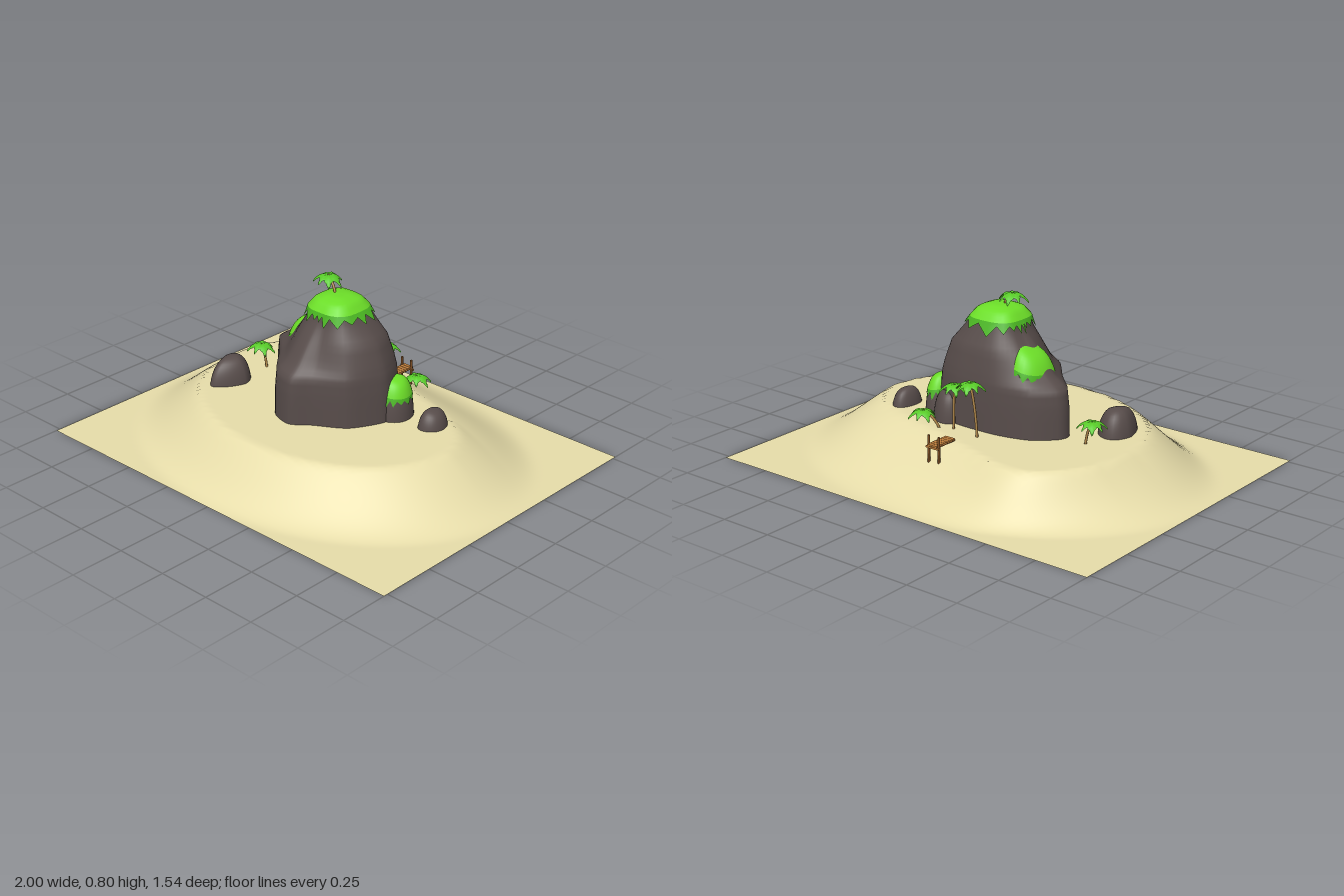
import * as THREE from 'three';
import { mergeVertices } from 'three/addons/utils/BufferGeometryUtils.js';

const mat = (name, color, side = THREE.FrontSide) => {
  const m = new THREE.MeshStandardMaterial({ color, side });
  m.name = name;
  return m;
};
const sand = mat('sand', 0xe7ddaa, THREE.DoubleSide);
const rock = mat('rock', 0x574c4a);
const grass = mat('grass', 0x6cde28, THREE.DoubleSide);
const fringeGreen = mat('grass fringe', 0x4ab522, THREE.DoubleSide);
const leafGreen = mat('palm leaf', 0x58cc28, THREE.DoubleSide);
const trunkBrown = mat('palm trunk', 0xb0874a);
const plankBrown = mat('plank', 0xc4823e);
const postBrown = mat('post', 0x7c4c22);

const { lerp, clamp } = THREE.MathUtils;

function add(parent, name, geometry, material) {
  const m = new THREE.Mesh(geometry, material);
  m.name = name;
  parent.add(m);
  return m;
}

// Closed skin over surface(u, v); bottom(i) may vary the lower rim
function skin(surface, bottom, top, rows, segs) {
  const pos = [], idx = [];
  for (let j = 0; j <= rows; j++) for (let i = 0; i < segs; i++) {
    const p = surface(i / segs, lerp(bottom(i), top, j / rows));
    pos.push(p.x, p.y, p.z);
  }
  for (let j = 0; j < rows; j++) for (let i = 0; i < segs; i++) {
    const n = (i + 1) % segs, a = j * segs + i, b = j * segs + n;
    idx.push(a, a + segs, b, b, a + segs, b + segs);
  }
  let g = new THREE.BufferGeometry();
  g.setAttribute('position', new THREE.Float32BufferAttribute(pos, 3));
  g.setIndex(idx);
  g = mergeVertices(g, 1e-5);
  g.computeVertexNormals();
  return g;
}

// Grass crown with a ragged hanging fringe, just outside a rock surface
function grassCap(parent, name, surface, centre, rim, top, drip, segs) {
  const outer = (u, v) => surface(u, v).sub(centre).multiplyScalar(1.06).add(centre);
  add(parent, name, skin(outer, () => rim, top, 10, segs), grass);
  const ragged = i => rim - drip * (i % 2 ? 0.25 : 0.8 + 0.2 * Math.sin(i * 2.3));
  add(parent, name + 'Fringe', skin(outer, ragged, rim, 3, segs), fringeGreen);
}

// Rounded boulder surface; point narrows the front, tilt leans the top, taper sharpens the dome
function lump({ x, z, rx, rz, y = 0.17, h, front = rz, point = 0, tilt = 0, taper = 0.6 }) {
  return (u, v) => {
    const a = u * Math.PI * 2, c = Math.cos(a), s = Math.sin(a);
    const r = Math.pow(Math.max(0, Math.cos(v * Math.PI / 2)), taper) * (1 + 0.05 * Math.sin(a * 3 + 1));
    const dx = rx * c * r * (1 - point * Math.max(0, s));
    return new THREE.Vector3(x + dx, y + h * Math.sin(v * Math.PI / 2) + tilt * dx * v, z + (s > 0 ? front : rz) * s * r);
  };
}

// Main rock: footprint blending upward into a small round summit
const foot = new THREE.CatmullRomCurve3([
  [0.3, -0.03], [0.22, 0.13], [0.08, 0.22], [0, 0.28], [-0.11, 0.25], [-0.24, 0.1],
  [-0.36, -0.02], [-0.36, -0.09], [-0.26, -0.18], [-0.1, -0.22], [0.12, -0.22], [0.25, -0.17],
].map(([x, z]) => new THREE.Vector3(x, 0, z)), true, 'catmullrom', 0.35);
// height, blend on front and left, blend on back and right, shrink
const levels = [
  [0.17, 0, 0, 1], [0.34, 0.02, 0.05, 1], [0.42, 0.06, 0.1, 1], [0.47, 0.33, 0.18, 1], [0.56, 0.64, 0.38, 1],
  [0.63, 0.9, 0.75, 1], [0.68, 1, 1, 1], [0.712, 1, 1, 0.76], [0.727, 1, 1, 0.4], [0.73, 1, 1, 0],
];
function mainRock(u, v) {
  const k = Math.min(Math.floor(v), levels.length - 2);
  const [y, tA, tB, shrink] = levels[k].map((n, i) => lerp(n, levels[k + 1][i], v - k));
  const cx = 0.015, cz = -0.025, f = foot.getPoint(u);
  const a = Math.atan2(f.z - cz, f.x - cx);
  const w = clamp(0.5 + 0.7 * (Math.sin(a) - Math.cos(a)), 0, 1), t = lerp(tB, tA, w);
  const r = 0.12 * (1 - 0.06 * Math.cos(4 * a)); // slightly square summit
  return new THREE.Vector3(
    cx + (lerp(f.x, cx + r * Math.cos(a), t) - cx) * shrink, y,
    cz + (lerp(f.z, cz + r * Math.sin(a), t) - cz) * shrink);
}

// Sand mound with a flat top, a wide cove at the back and a spur beside it
function sandGeometry() {
  const g = new THREE.PlaneGeometry(2, 1.54, 80, 62).rotateX(-Math.PI / 2);
  const p = g.attributes.position;
  const bump = (x, c, w) => Math.exp(-(((x - c) / w) ** 2));
  for (let i = 0; i < p.count; i++) {
    const x = p.getX(i), z = p.getZ(i);
    const u = Math.hypot(x, z / 0.77);
    const back = clamp(-z / 0.25, 0, 1);
    const edge = 0.67 + back * (0.12 * bump(x, -0.45, 0.25) - 0.2 * bump(x, 0.15, 0.42));
    const t = clamp((1 - u) / (1 - edge), 0, 1);
    p.setY(i, 0.207 * lerp(t ** 1.6, t * t * (3 - 2 * t), 0.35));
  }
  g.computeVertexNormals();
  return g;
}

// Drooping saw-edged leaf along +x
function leafGeometry(L) {
  const g = new THREE.PlaneGeometry(1, 1, 8, 2), p = g.attributes.position;
  for (let i = 0; i < p.count; i++) {
    const s = p.getX(i) + 0.5, w = p.getY(i) * 2;
    const notch = Math.round(s * 8) % 2 ? 1 : 0.7;
    const half = 0.35 * L * Math.sin(Math.PI * Math.pow(s, 0.8)) * notch;
    p.setXYZ(i, L * s, L * (0.4 * s - 0.9 * s * s - 0.12 * Math.abs(w)), -w * half);
  }
  g.computeVertexNormals();
  return g;
}

function palm(parent, base, top, L, turn) {
  const g = new THREE.Group();
  g.name = 'palm';
  const a = new THREE.Vector3(...base), b = new THREE.Vector3(...top);
  const bend = new THREE.Vector3(lerp(a.x, b.x, 0.2), lerp(a.y, b.y, 0.6), lerp(a.z, b.z, 0.2));
  add(g, 'trunk', new THREE.TubeGeometry(new THREE.QuadraticBezierCurve3(a, bend, b), 8, 0.006, 7), trunkBrown);
  const leaf = leafGeometry(L);
  for (let i = 0; i < 7; i++) {
    const m = add(g, 'leaf', leaf, leafGreen);
    m.position.copy(b);
    m.rotation.y = turn + i * Math.PI * 2 / 7;
    m.scale.setScalar(i % 2 ? 0.85 : 1);
  }
  parent.add(g);
}

function dock(parent) {
  const g = new THREE.Group();
  g.name = 'dock';
  const box = (name, w, h, d, x, y, z, m) => add(g, name, new THREE.BoxGeometry(w, h, d), m).position.set(x, y, z);
  for (let i = 0; i < 7; i++) box('plank', 0.052, 0.007, 0.016, 0.01, 0.215, -0.388 - i * 0.018, plankBrown);
  for (const s of [-1, 1]) {
    box('beam', 0.007, 0.006, 0.125, 0.01 + s * 0.02, 0.209, -0.44, postBrown);
    add(g, 'post', new THREE.CylinderGeometry(0.006, 0.006, 0.125, 8), postBrown).position.set(0.01 + s * 0.028, 0.193, -0.49);
  }
  box('crossBar', 0.07, 0.008, 0.008, 0.01, 0.205, -0.499, plankBrown);
  parent.add(g);
}

export function createModel() {
  const model = new THREE.Group();
  model.name = 'island';
  add(model, 'sandMound', sandGeometry(), sand);

  const summit = levels.length - 1;
  add(model, 'mainRock', skin(mainRock, () => 0, summit, 27, 64), rock);
  grassCap(model, 'summitGrass', mainRock, new THREE.Vector3(0.015, 0.6, -0.025), 5.95, summit, 1.1, 36);

  // Shoulders of the main rock, two of them grassy
  const leftLump = lump({ x: -0.17, z: -0.058, rx: 0.115, rz: 0.118, y: 0.32, h: 0.255, tilt: 0.55 });
  const rightLump = lump({ x: 0.28, z: -0.112, rx: 0.072, rz: 0.095, h: 0.21, tilt: -0.3 });
  const backLump = lump({ x: 0.18, z: -0.18, rx: 0.08, rz: 0.072, h: 0.17 });
  for (const s of [leftLump, rightLump, backLump]) add(model, 'rockShoulder', skin(s, () => 0, 1, 12, 32), rock);
  grassCap(model, 'shoulderGrass', leftLump, new THREE.Vector3(-0.17, 0.48, -0.058), 0.5, 1, 0.14, 32);
  grassCap(model, 'shoulderGrass', rightLump, new THREE.Vector3(0.28, 0.27, -0.112), 0.5, 1, 0.16, 28);

  // Loose boulders
  const boulders = [
    lump({ x: -0.5, z: 0.13, rx: 0.084, rz: 0.092, front: 0.132, point: 0.4, h: 0.152, taper: 0.75 }),
    lump({ x: 0.467, z: -0.145, rx: 0.058, rz: 0.08, h: 0.112, tilt: -0.3, taper: 0.7 }),
  ];
  for (const s of boulders) add(model, 'boulder', skin(s, () => 0, 1, 12, 28), rock);

  palm(model, [-0.06, 0.19, -0.285], [-0.03, 0.45, -0.295], 0.068, 0.2);
  palm(model, [0.085, 0.19, -0.27], [0.065, 0.42, -0.285], 0.066, 0.6);
  palm(model, [0.14, 0.19, -0.295], [0.2, 0.288, -0.34], 0.066, 0.9);
  palm(model, [0, 0.725, -0.02], [-0.06, 0.797, -0.04], 0.07, 0.1);
  palm(model, [-0.47, 0.19, -0.06], [-0.505, 0.315, -0.06], 0.068, 0.4);

  dock(model);
  return model;
}
